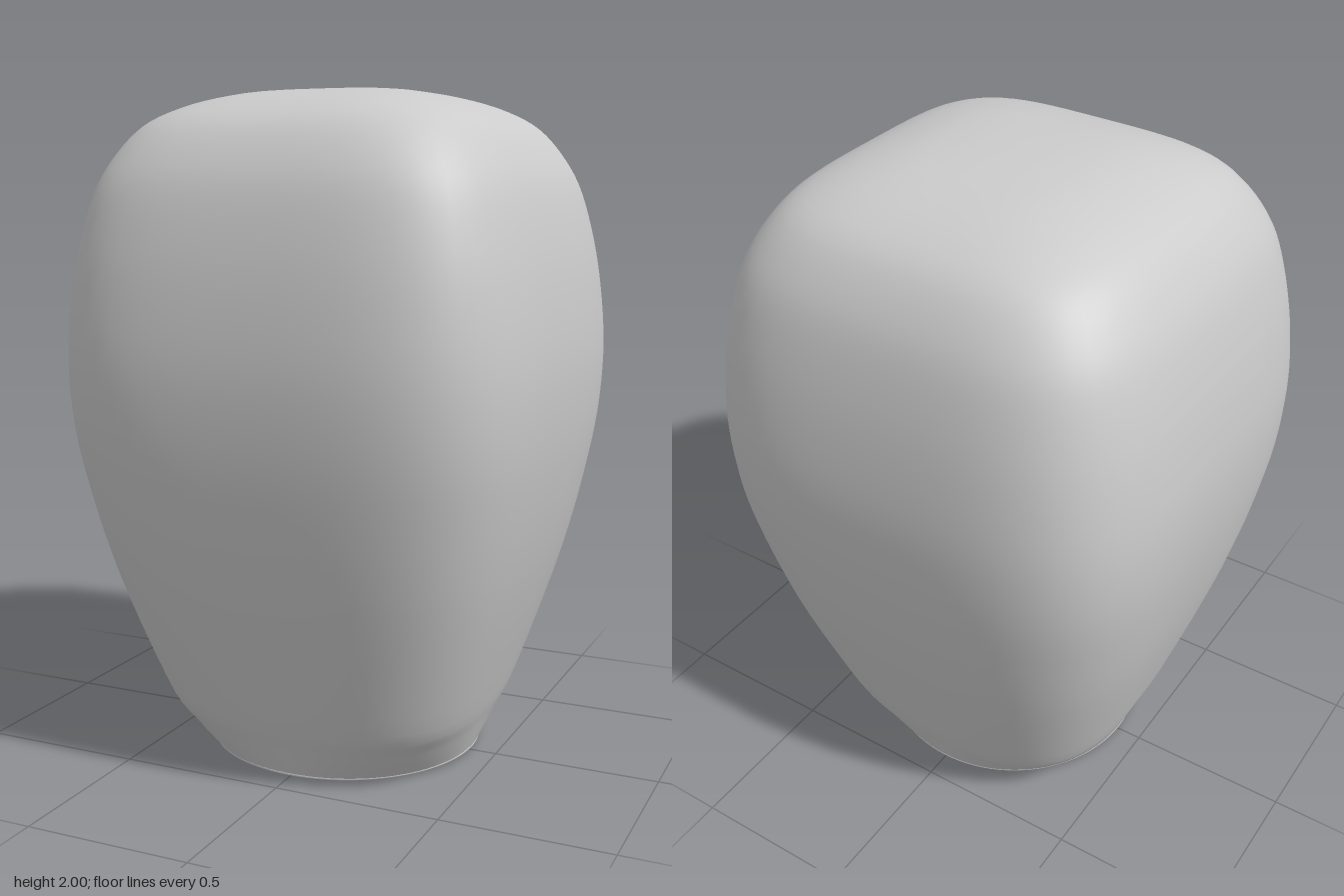
import * as THREE from 'three';

const material = new THREE.MeshStandardMaterial({ color: 0xcccccc });
const TWIST = 0.015;

// Shade outline: half width on the axes, height, squareness of the section
const profile = new THREE.CatmullRomCurve3([
  [0.42, 0.01, 2], [0.455, 0.1, 2.6], [0.5, 0.22, 3.3], [0.61, 0.58, 3.8],
  [0.665, 0.82, 4], [0.698, 1.04, 4.2], [0.707, 1.22, 4.2], [0.695, 1.4, 4.2],
  [0.67, 1.56, 4.2], [0.63, 1.71, 4.2], [0.58, 1.81, 4.1], [0.52, 1.885, 4],
  [0.43, 1.94, 3.8], [0.3, 1.98, 3.5], [0.15, 1.997, 3], [0, 2, 2.5],
].map(p => new THREE.Vector3(...p)), false, 'centripetal');

// Loft of rounded-square rings from the round opening up to a closed top
function shadeGeometry(thickness, inward) {
  const rings = 64, sides = 96, pos = [], index = [];
  for (let i = 0; i < rings; i++) {
    const p = profile.getPoint(i / rings);
    const inset = thickness * Math.min(1, p.y / 0.3);
    const r = Math.max(p.x - inset, 0.001);
    const y = p.y - inset * THREE.MathUtils.smoothstep(p.y, 1.6, 2);
    for (let j = 0; j < sides; j++) {
      const a = (j / sides) * Math.PI * 2;
      const c = Math.abs(Math.cos(a)), s = Math.abs(Math.sin(a));
      const d = r / Math.pow(c ** p.z + s ** p.z, 1 / p.z);
      pos.push(d * Math.cos(a + TWIST), y, d * Math.sin(a + TWIST));
    }
  }
  const top = rings * sides;
  pos.push(0, 2 - thickness, 0);
  const tri = (a, b, c) => (inward ? index.push(a, c, b) : index.push(a, b, c));
  for (let i = 0; i < rings; i++) {
    for (let j = 0; j < sides; j++) {
      const k = (j + 1) % sides;
      const a = i * sides + j, b = i * sides + k;
      if (i === rings - 1) { tri(a, top, b); continue; }
      tri(a, a + sides, b);
      tri(b, a + sides, b + sides);
    }
  }
  const g = new THREE.BufferGeometry();
  g.setAttribute('position', new THREE.Float32BufferAttribute(pos, 3));
  g.setIndex(index);
  g.computeVertexNormals();
  return g;
}

export function createModel() {
  const model = new THREE.Group();
  const add = (name, geometry, parent = model) => {
    const mesh = new THREE.Mesh(geometry, material);
    mesh.name = name;
    parent.add(mesh);
    return mesh;
  };

  // Hollow shade
  add('shadeOuter', shadeGeometry(0, false));
  add('shadeInner', shadeGeometry(0.025, true));

  // Thin ring around the opening
  const rim = add('rimRing', new THREE.TorusGeometry(0.417, 0.006, 8, 96));
  rim.rotation.x = Math.PI / 2;
  rim.position.y = 0.012;

  // Fitting: central hub held by four spokes
  const fitting = new THREE.Group();
  fitting.name = 'fitting';
  fitting.rotation.y = -0.07;
  model.add(fitting);
  add('hub', new THREE.CylinderGeometry(0.076, 0.076, 0.04, 32), fitting).position.y = 0.02;
  for (let i = 0; i < 4; i++) {
    const a = (i * Math.PI) / 2;
    const spoke = add('spoke', new THREE.CylinderGeometry(0.006, 0.006, 0.35, 8), fitting);
    spoke.rotation.set(0, -a, Math.PI / 2);
    spoke.position.set(Math.cos(a) * 0.242, 0.014, Math.sin(a) * 0.242);
  }
  return model;
}
